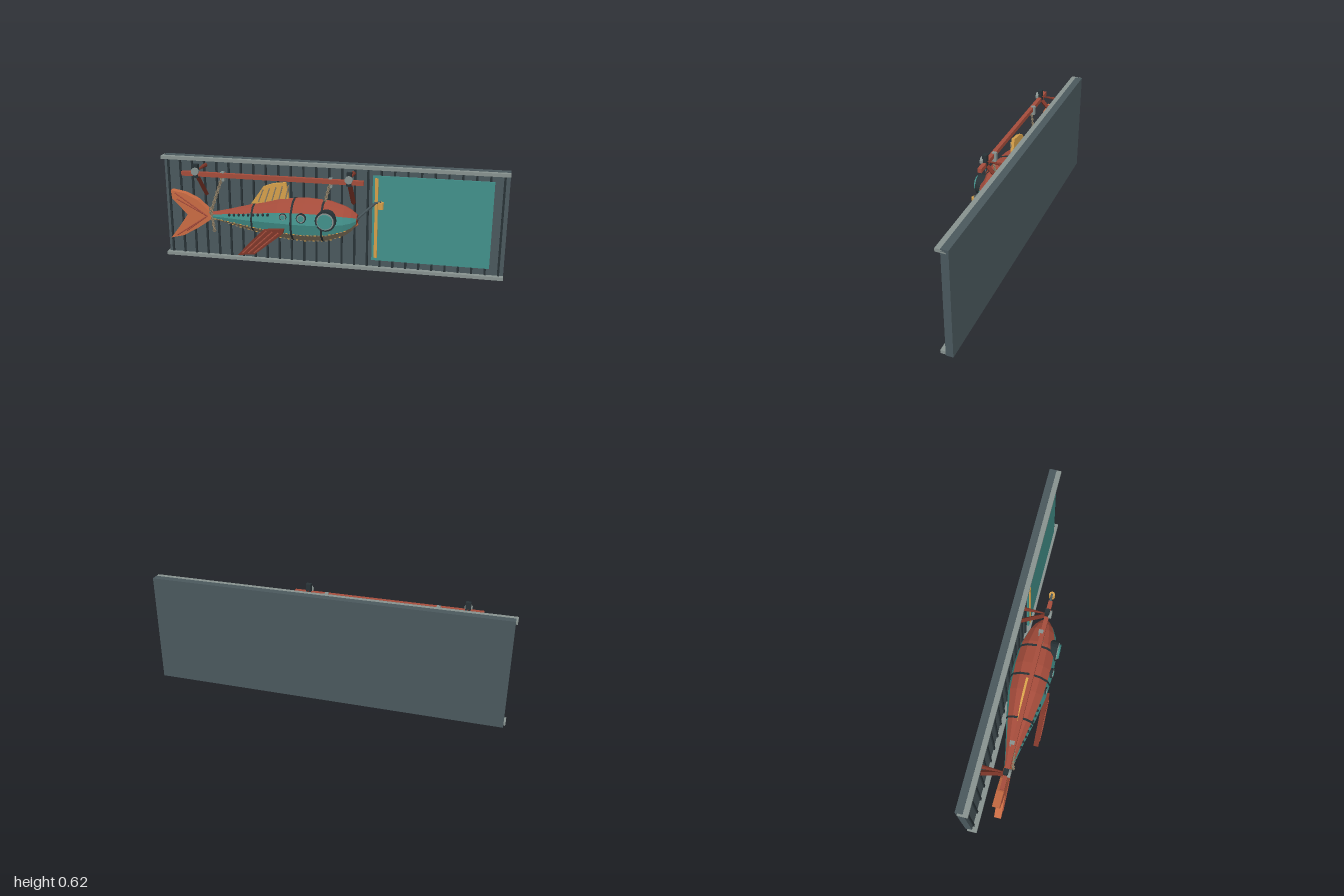
import * as THREE from 'three';

const mat = (name, color, opts = {}) => {
  const m = new THREE.MeshStandardMaterial({ color, flatShading: true, ...opts });
  m.name = name;
  return m;
};

export function createModel() {
  const M = {
    slate: mat('slate', 0x4a585d),
    charcoal: mat('charcoal', 0x283236),
    steel: mat('steel', 0x87928f),
    teal: mat('teal', 0x42908a),
    red: mat('red', 0xa54c3b),
    darkRed: mat('darkRed', 0x7d3629),
    tan: mat('tan', 0x8c7d65),
    gold: mat('gold', 0xd6a04a),
    orange: mat('orange', 0xc96b43),
  };
  const root = new THREE.Group();
  root.name = 'fishSign';

  const add = (name, geo, m, x = 0, y = 0, z = 0) => {
    const mesh = new THREE.Mesh(geo, m);
    mesh.name = name;
    mesh.position.set(x, y, z);
    root.add(mesh);
    return mesh;
  };
  // box given by its limits
  const box = (name, m, x0, x1, y0, y1, z0, z1) =>
    add(name, new THREE.BoxGeometry(x1 - x0, y1 - y0, z1 - z0), m, (x0 + x1) / 2, (y0 + y1) / 2, (z0 + z1) / 2);
  // tapered bar from a to b
  const bar = (name, m, a, b, r0, r1 = r0, sides = 6) => {
    const A = new THREE.Vector3(...a), B = new THREE.Vector3(...b), d = B.clone().sub(A);
    const mesh = add(name, new THREE.CylinderGeometry(r1, r0, d.length(), sides), m);
    mesh.position.copy(A).add(B).multiplyScalar(0.5);
    mesh.quaternion.setFromUnitVectors(new THREE.Vector3(0, 1, 0), d.normalize());
    return mesh;
  };
  // disc facing the front
  const disc = (name, m, x, y, z0, z1, r, sides = 16) => {
    const mesh = add(name, new THREE.CylinderGeometry(r, r, z1 - z0, sides), m, x, y, (z0 + z1) / 2);
    mesh.rotation.x = Math.PI / 2;
    return mesh;
  };
  // flat outline with thickness
  const plate = (name, m, pts, z0, z1) => {
    const shape = new THREE.Shape(pts.map(p => new THREE.Vector2(...p)));
    return add(name, new THREE.ExtrudeGeometry(shape, { depth: z1 - z0, bevelEnabled: false }), m, 0, 0, z0);
  };

  // wall with battens and rails
  box('wall', M.slate, -0.99, 1, 0, 0.625, -0.148, -0.108);
  for (let i = 0; i < 27; i++) {
    const x = -0.965 + i * 0.0745;
    box('wallGroove', M.charcoal, x - 0.006, x + 0.006, 0.025, 0.605, -0.11, -0.1);
  }
  box('topRail', M.steel, -1, 1, 0.604, 0.623, -0.135, -0.08);
  box('bottomRail', M.steel, -1, 1, 0.006, 0.025, -0.135, -0.08);
  box('signPanel', M.teal, 0.255, 0.92, 0.068, 0.57, -0.1, -0.09);
  box('signStripe', M.gold, 0.269, 0.287, 0.086, 0.557, -0.092, -0.083);

  // hull sections: x, centre y, vertical radius, depth radius
  const sections = [
    [-0.68, 0.313, 0.016, 0.016], [-0.55, 0.316, 0.044, 0.042], [-0.4, 0.321, 0.08, 0.076],
    [-0.25, 0.327, 0.114, 0.105], [-0.1, 0.328, 0.127, 0.114], [0.03, 0.329, 0.117, 0.106],
    [0.12, 0.333, 0.086, 0.078], [0.16, 0.338, 0.06, 0.055], [0.188, 0.345, 0.03, 0.029],
  ];
  const cz = 0.023;
  const at = x => {
    let i = 0;
    while (i < sections.length - 2 && sections[i + 1][0] < x) i++;
    const t = (x - sections[i][0]) / (sections[i + 1][0] - sections[i][0]);
    return sections[i].map((v, k) => v + (sections[i + 1][k] - v) * t);
  };
  const onRing = ([x, cy, ry, rz], deg, s = 1) => {
    const a = THREE.MathUtils.degToRad(deg);
    return [x, cy + ry * s * Math.sin(a), cz + rz * s * Math.cos(a)];
  };
  // skin between two angles in 30 degree facets
  const skin = (name, m, rings, from, to) => {
    const pos = [];
    for (let i = 0; i < rings.length - 1; i++) {
      for (let a = from; a < to; a += 30) {
        const A = onRing(rings[i], a), B = onRing(rings[i + 1], a);
        const C = onRing(rings[i + 1], a + 30), D = onRing(rings[i], a + 30);
        pos.push(...A, ...B, ...C, ...A, ...C, ...D);
      }
    }
    const g = new THREE.BufferGeometry();
    g.setAttribute('position', new THREE.Float32BufferAttribute(pos, 3));
    g.computeVertexNormals();
    return add(name, g, m);
  };
  skin('upperHull', M.red, sections, 30, 150);
  skin('leftHullSide', M.teal, sections, -30, 30);
  skin('rightHullSide', M.teal, sections, 150, 210);
  skin('belly', M.tan, sections, 210, 330);
  bar('noseCap', M.darkRed, [0.18, 0.345, cz], [0.191, 0.345, cz], 0.03, 0.028, 12);
  const lip = add('mouth', new THREE.SphereGeometry(0.02, 10, 6), M.orange, 0.18, 0.318, cz);
  lip.scale.set(0.8, 0.65, 1);
  bar('tailCap', M.darkRed, [-0.69, 0.313, cz], [-0.678, 0.313, cz], 0.014, 0.016, 12);

  // raised bands around the hull
  [-0.4, -0.165, 0.005].forEach(x => {
    const rings = [[-0.006, 1], [-0.005, 1.03], [0.005, 1.03], [0.006, 1]].map(([dx, s]) => {
      const [, cy, ry, rz] = at(x);
      return [x + dx, cy, ry * s, rz * s];
    });
    skin('hullBand', M.charcoal, rings, 0, 360);
  });
  // rivets and the beaded trim above the belly
  for (let i = 0; i < 9; i++) {
    add('rivet', new THREE.SphereGeometry(0.009, 6, 4), M.charcoal, ...onRing(at(-0.54 + i * 0.03), 24, 0.98));
  }
  for (let i = 0; i < 40; i++) {
    add('trimBead', new THREE.BoxGeometry(0.012, 0.005, 0.006), i % 2 ? M.gold : M.tan,
      ...onRing(at(-0.65 + i * 0.02), -30, 1));
  }
  for (let i = 0; i < 28; i++) {
    add('keelBead', new THREE.BoxGeometry(0.012, 0.006, 0.006), i % 2 ? M.gold : M.tan,
      ...onRing(at(-0.55 + i * 0.024), -60, 1));
  }

  // portholes and eye
  [[-0.21, 0.364, 0.021, 0.125], [-0.105, 0.366, 0.028, 0.136]].forEach(([x, y, r, z]) => {
    disc('portholeRim', M.charcoal, x, y, 0.09, z, r);
    disc('portholeRing', M.steel, x, y, z, z + 0.003, r * 0.8);
    disc('portholeGlass', M.teal, x, y, z, z + 0.006, r * 0.62);
  });
  disc('eyeSocket', M.charcoal, 0.03, 0.357, 0.06, 0.131, 0.058, 20);
  disc('eyeRing', M.steel, 0.03, 0.357, 0.125, 0.135, 0.048, 20);
  disc('eyeGlass', M.teal, 0.03, 0.357, 0.125, 0.145, 0.041, 20);

  // dorsal fin with ribs
  plate('dorsalFin', M.gold, [[-0.42, 0.4], [-0.2, 0.43], [-0.2, 0.465], [-0.215, 0.535], [-0.29, 0.525],
    [-0.345, 0.505]], 0.014, 0.032);
  for (let i = 0; i < 5; i++) {
    const x = -0.375 + i * 0.038;
    bar('dorsalRib', M.tan, [x, 0.415, 0.032], [x + 0.03 - i * 0.001, 0.49 + i * 0.008, 0.032], 0.004);
  }

  // tail fin with ribs
  plate('tailFin', M.orange, [[-0.65, 0.325], [-0.735, 0.405], [-0.81, 0.44], [-0.895, 0.455], [-0.89, 0.405],
    [-0.8, 0.315], [-0.845, 0.25], [-0.91, 0.165], [-0.83, 0.185], [-0.735, 0.24], [-0.65, 0.3]], 0.004, 0.043);
  [[-0.87, 0.44], [-0.86, 0.405], [-0.87, 0.185], [-0.81, 0.215]].forEach(([x, y]) =>
    bar('tailRib', M.red, [-0.68, 0.313, 0.043], [x, y, 0.043], 0.004));

  // side fin with ribs
  plate('sideFin', M.darkRed, [[-0.32, 0.285], [-0.2, 0.3], [-0.21, 0.27], [-0.285, 0.21], [-0.37, 0.14],
    [-0.47, 0.128], [-0.42, 0.185]], 0.115, 0.143);
  for (let i = 0; i < 3; i++) {
    bar('sideFinRib', M.red, [-0.3 + i * 0.035, 0.283 - i * 0.003, 0.142], [-0.44 + i * 0.033, 0.142 + i * 0.003, 0.142], 0.005);
  }

  // lure rod and lantern
  bar('lureRod', M.slate, [0.18, 0.343, 0.03], [0.29, 0.45, 0.03], 0.008);
  bar('lureTip', M.slate, [0.285, 0.448, 0.03], [0.32, 0.457, 0.03], 0.006);
  add('lantern', new THREE.CylinderGeometry(0.017, 0.017, 0.038, 8), M.gold, 0.318, 0.436, 0.03);

  // hanging beam and its brackets
  box('beam', M.red, -0.82, 0.225, 0.548, 0.573, 0.03, 0.053);
  [-0.735, 0.145].forEach(x => {
    bar('bracketArm', M.darkRed, [x, 0.577, 0.03], [x, 0.575, -0.108], 0.003, 0.013, 8);
    bar('bracketBrace', M.darkRed, [x, 0.55, 0.03], [x, 0.4, -0.105], 0.014, 0.014, 4);
    box('bracketClamp', M.charcoal, x - 0.014, x + 0.014, 0.54, 0.617, 0.029, 0.054);
    disc('bracketBolt', M.steel, x, 0.578, 0.05, 0.066, 0.022, 10);
  });

  // chains from the beam to the fish
  const chain = (a, b, n) => {
    const A = new THREE.Vector3(...a), B = new THREE.Vector3(...b);
    bar('chainCore', M.tan, a, b, 0.003);
    for (let i = 0; i <= n; i++) {
      const link = add('chainLink', new THREE.TorusGeometry(0.008, 0.003, 4, 8), M.tan);
      link.position.lerpVectors(A, B, i / n);
      link.rotation.y = i % 2 ? 1.2 : 0.2;
    }
  };
  chain([-0.58, 0.55, 0.045], [-0.655, 0.34, 0.05], 14);
  chain([-0.655, 0.36, 0.05], [-0.64, 0.23, 0.045], 8);
  chain([0.04, 0.55, 0.045], [0.01, 0.44, 0.04], 8);
  [-0.58, 0.04].forEach(x => box('chainShackle', M.steel, x - 0.01, x + 0.01, 0.525, 0.578, 0.02, 0.045));

  return root;
}
